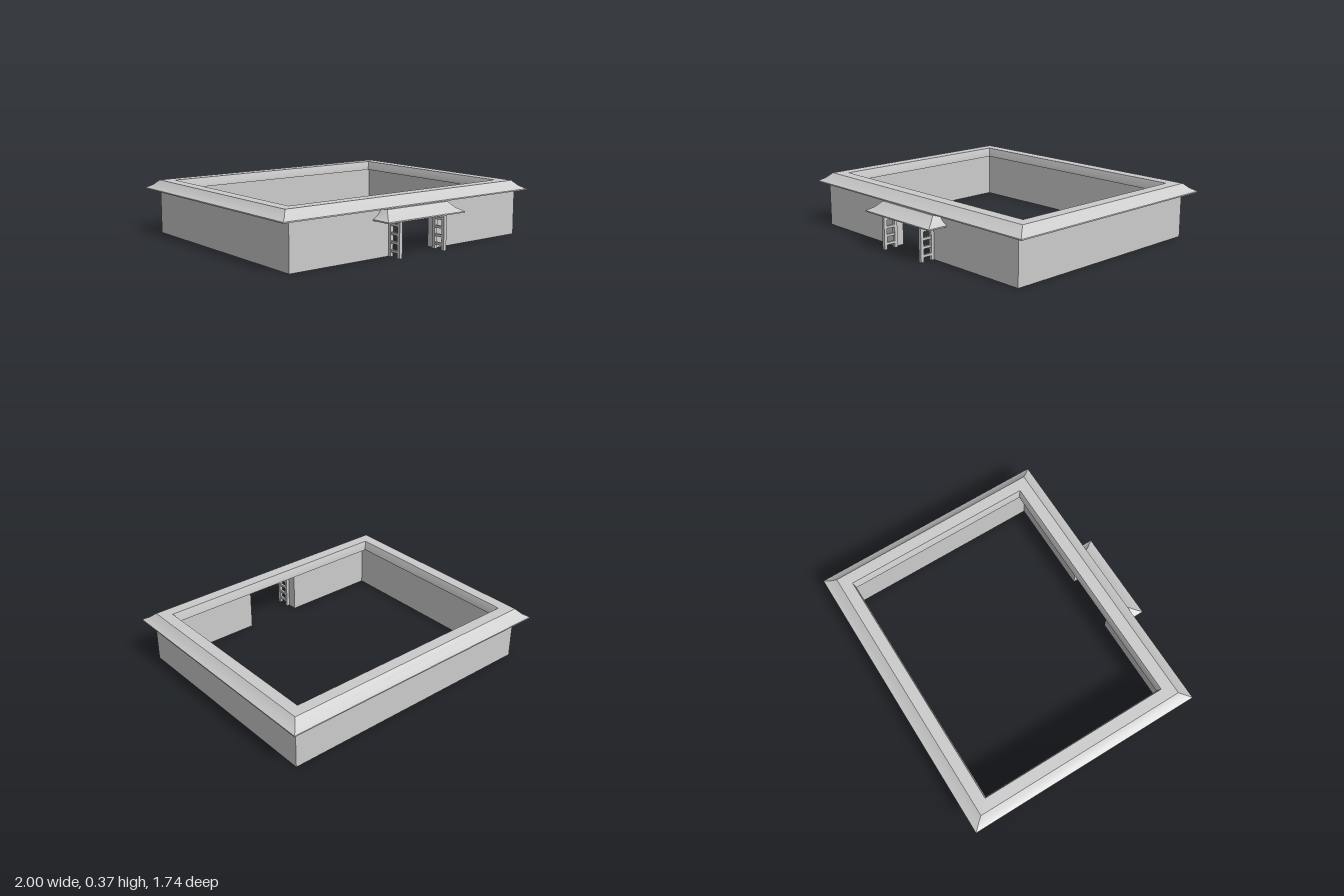
import * as THREE from 'three';
import { toCreasedNormals } from 'three/addons/utils/BufferGeometryUtils.js';

const material = new THREE.MeshStandardMaterial({ color: 0xcccccc });

function add(parent, geometry, name) {
  const mesh = new THREE.Mesh(geometry, material);
  mesh.name = name;
  parent.add(mesh);
  return mesh;
}

// Box given by its minimum and maximum corners
function box(parent, name, [x0, y0, z0], [x1, y1, z1]) {
  const g = new THREE.BoxGeometry(x1 - x0, y1 - y0, z1 - z0);
  add(parent, g, name).position.set((x0 + x1) / 2, (y0 + y1) / 2, (z0 + z1) / 2);
}

// Skin over rectangles [halfWidth, backZ, frontZ, y]; either looped into a ring or capped
function loftRects(rects, ring) {
  const rows = rects.map(([x, b, f, y]) => [[-x, y, b], [-x, y, f], [x, y, f], [x, y, b]]);
  const pos = [];
  const quad = (a, b, c, d) => pos.push(...a, ...b, ...c, ...a, ...c, ...d);
  const n = rows.length;
  for (let i = 0; i < (ring ? n : n - 1); i++) {
    const lo = rows[i], hi = rows[(i + 1) % n];
    for (let k = 0; k < 4; k++) {
      const m = (k + 1) % 4;
      quad(lo[k], lo[m], hi[m], hi[k]);
    }
  }
  if (!ring) {
    quad(...rows[n - 1]);
    quad(...[...rows[0]].reverse());
  }
  const g = new THREE.BufferGeometry();
  g.setAttribute('position', new THREE.Float32BufferAttribute(pos, 3));
  g.computeVertexNormals();
  return toCreasedNormals(g, 0.5);
}

export function createModel() {
  const model = new THREE.Group();

  // Perimeter walls, with a gateway in the front one
  const W = 0.93, back = -0.785, front = 0.73, T = 0.065, H = 0.305, gate = 0.195;
  const walls = new THREE.Group();
  walls.name = 'walls';
  model.add(walls);
  box(walls, 'backWall', [-W, 0, back], [W, H, back + T]);
  box(walls, 'leftWall', [W - T, 0, back + T], [W, H, front - T]);
  box(walls, 'rightWall', [-W, 0, back + T], [-W + T, H, front - T]);
  box(walls, 'frontWallLeft', [gate, 0, front - T], [W, H, front]);
  box(walls, 'frontWallRight', [-W, 0, front - T], [-gate, H, front]);

  // Roof running round the wall tops: flared eave, flat crown, steep inner edge
  add(model, loftRects([
    [1, -0.868, 0.777, 0.302],
    [1, -0.868, 0.777, 0.31],
    [0.963, -0.828, 0.738, 0.332],
    [0.933, -0.79, 0.7, 0.365],
    [0.855, -0.712, 0.62, 0.365],
    [0.84, -0.7, 0.605, 0.315],
    [0.84, -0.7, 0.605, 0.302],
  ], true), 'wallRoof');

  // Small flared canopy over the gateway
  add(model, loftRects([
    [0.317, front, 0.868, 0.233],
    [0.317, front, 0.868, 0.241],
    [0.28, front, 0.822, 0.264],
    [0.25, front, 0.78, 0.3],
  ], false), 'gateCanopy');

  // Ladder-like canopy supports on both sides of the gateway
  for (const side of [-1, 1]) {
    const support = new THREE.Group();
    support.name = side > 0 ? 'leftSupport' : 'rightSupport';
    support.position.x = side * 0.184;
    model.add(support);
    box(support, 'frontPost', [-0.011, 0, 0.81], [0.011, 0.238, 0.832]);
    box(support, 'rearPost', [-0.011, 0, 0.729], [0.011, 0.238, 0.75]);
    for (const y of [0.037, 0.091, 0.145, 0.2])
      box(support, 'rung', [-0.008, y - 0.008, 0.745], [0.008, y + 0.008, 0.815]);
  }
  return model;
}
